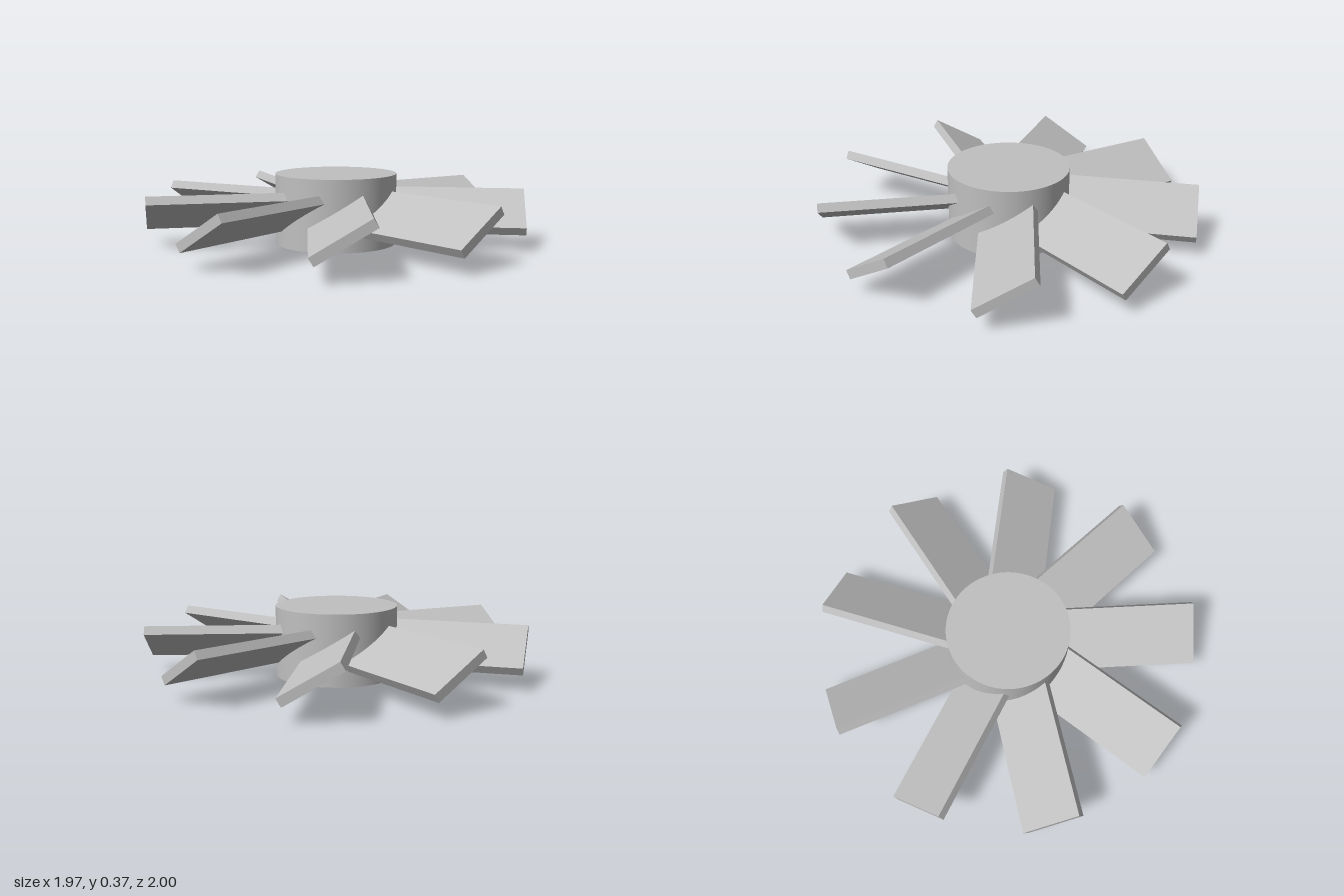
import * as THREE from 'three';

const BLADES = 9;
const PITCH = THREE.MathUtils.degToRad(31);
const HUB = { radius: 0.32, height: 0.37 };
const BLADE = { inner: 0.2, outer: 0.987, thickness: 0.047, width: 0.322 };

export function createModel() {
  const model = new THREE.Group();
  model.name = 'fanRotor';
  const grey = new THREE.MeshStandardMaterial({ color: 0xc0c0c0 });
  grey.name = 'grey metal';

  // Rotor holds everything; nine blades leave the bounds slightly off the axis
  const rotor = new THREE.Group();
  rotor.name = 'rotor';
  rotor.position.set(-0.004, HUB.height / 2, 0);
  model.add(rotor);

  // Solid round hub
  const hub = new THREE.Mesh(
    new THREE.CylinderGeometry(HUB.radius, HUB.radius, HUB.height, 96), grey);
  hub.name = 'hub';
  rotor.add(hub);

  // One pitched flat blade along +x, its root buried in the hub
  const bladeGeometry = new THREE.BoxGeometry(
    BLADE.outer - BLADE.inner, BLADE.thickness, BLADE.width);
  bladeGeometry.rotateX(PITCH);
  bladeGeometry.translate((BLADE.inner + BLADE.outer) / 2, 0, 0);

  // Ring of blades
  for (let i = 0; i < BLADES; i++) {
    const blade = new THREE.Mesh(bladeGeometry, grey);
    blade.name = `blade${i + 1}`;
    blade.rotation.y = (i * Math.PI * 2) / BLADES;
    rotor.add(blade);
  }
  return model;
}
